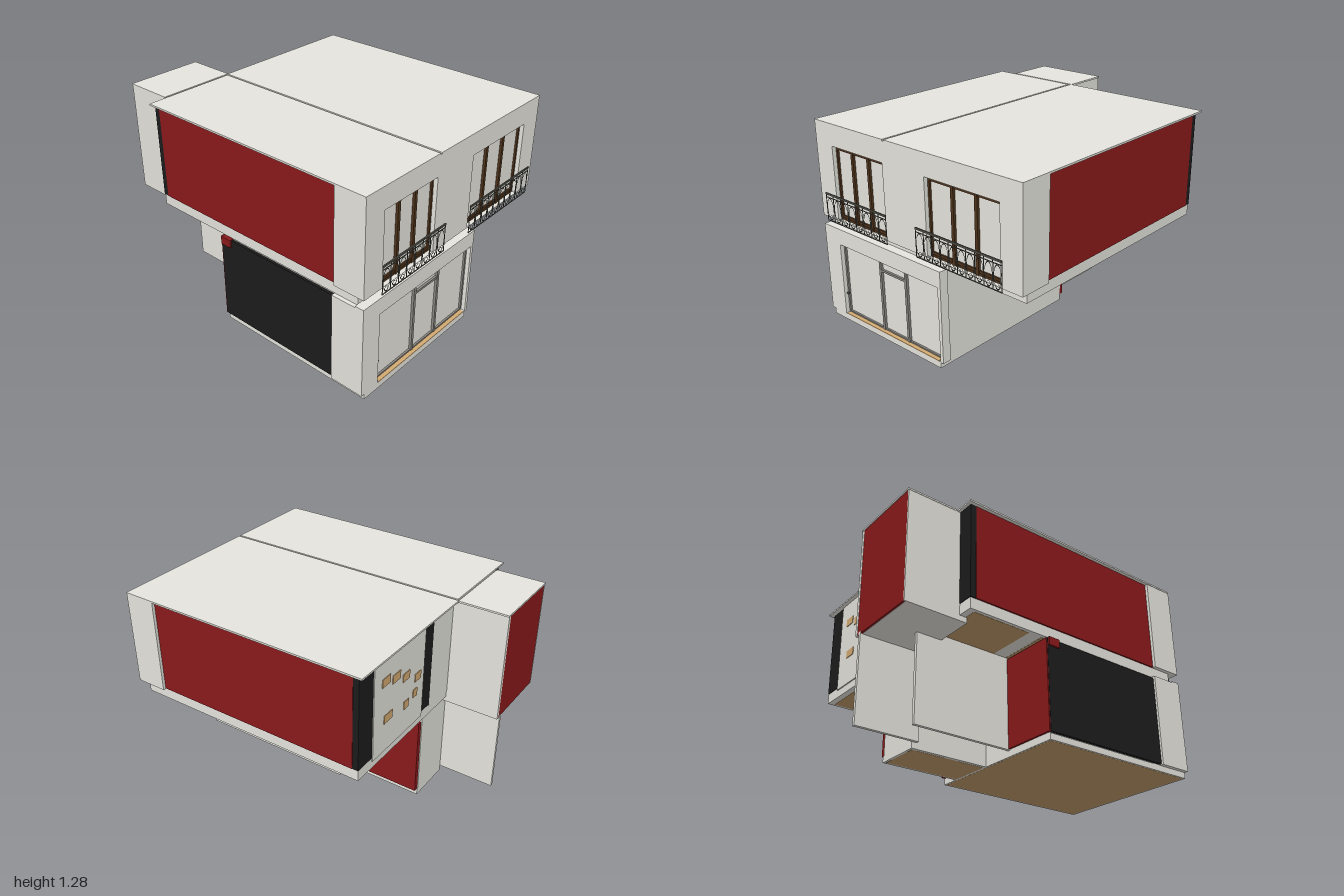
import * as THREE from 'three';

const mat = (name, color) => {
  const m = new THREE.MeshStandardMaterial({ color });
  m.name = name;
  return m;
};

export function createModel() {
  const house = new THREE.Group();
  house.name = 'house';
  const plaster = mat('plaster grey', 0xe5e4dd);
  const red = mat('cladding red', 0x8a191b);
  const black = mat('panel black', 0x1c1c1c);
  const wood = mat('dark wood', 0x4e331c);
  const steel = mat('frame grey', 0x8a8882);
  const iron = mat('wrought iron', 0x55554f);
  const floorBrown = mat('floor brown', 0xbf9a68);
  const tan = mat('tan wood', 0xd3aa72);

  // Box given by its extents on each axis
  const box = (name, m, x0, x1, y0, y1, z0, z1, parent = house) => {
    const mesh = new THREE.Mesh(new THREE.BoxGeometry(x1 - x0, y1 - y0, z1 - z0), m);
    mesh.position.set((x0 + x1) / 2, (y0 + y1) / 2, (z0 + z1) / 2);
    mesh.name = name;
    parent.add(mesh);
    return mesh;
  };

  // Front wall with rectangular openings [x0, x1, y0, y1]
  const frontWall = (name, x0, x1, y0, y1, holes) => {
    const rect = (P, a, b, c, d) =>
      new P([[a, c], [b, c], [b, d], [a, d]].map(([x, y]) => new THREE.Vector2(x, y)));
    const shape = rect(THREE.Shape, x0, x1, y0, y1);
    holes.forEach(h => shape.holes.push(rect(THREE.Path, ...h)));
    const mesh = new THREE.Mesh(
      new THREE.ExtrudeGeometry(shape, { depth: 0.058, bevelEnabled: false }), plaster);
    mesh.position.z = 0.9;
    mesh.name = name;
    house.add(mesh);
  };

  // Window frame: surround plus inner posts of half-width w
  const windowFrame = (name, m, [x0, x1, y0, y1], t, top, posts, w) => {
    const g = new THREE.Group();
    g.name = name;
    house.add(g);
    const z = [0.915, 0.932];
    box('frameLeft', m, x0, x0 + t, y0, y1, ...z, g);
    box('frameRight', m, x1 - t, x1, y0, y1, ...z, g);
    box('frameTop', m, x0, x1, y1 - top, y1, ...z, g);
    box('frameBottom', m, x0, x1, y0, y0 + t, ...z, g);
    posts.forEach(p => box('post', m, p - w, p + w, y0, y1, 0.915, 0.936, g));
    return g;
  };

  // Ground floor
  const shopHole = [-0.671, 0.187, 0.041, 0.516];
  frontWall('lowerFrontWall', -0.81, 0.21, 0.038, 0.619, [shopHole]);
  box('lowerBase', plaster, -0.785, 0.187, 0.0005, 0.038, -0.12, 0.957);
  box('lowerRoom', plaster, -0.78, 0.187, 0.038, 0.61, -0.12, 0.92);
  box('lowerSideReturn', plaster, -0.81, -0.77, 0.038, 0.61, 0.74, 0.9);
  box('lowerBlackCladding', black, -0.797, -0.77, 0.043, 0.6, -0.125, 0.74);
  box('lowerBackCladding', red, -0.795, -0.45, 0.043, 0.6, -0.132, -0.12);
  box('redBeam', red, -0.809, 0.209, 0.555, 0.606, -0.12, -0.045);
  box('groundFloorUnderside', floorBrown, -0.775, 0.175, 0, 0.001, -0.11, 0.945);
  const shop = windowFrame('shopWindow', steel, shopHole, 0.013, 0.013, [-0.328, -0.107], 0.009);
  box('transom', steel, -0.328, -0.107, 0.438, 0.452, 0.915, 0.934, shop);
  box('doorHandle', iron, -0.666, -0.65, 0.176, 0.185, 0.93, 0.945, shop);
  box('shopSill', tan, -0.66, 0.172, 0.04, 0.045, 0.932, 0.9585);

  // Rear annex and stair walls
  box('annexBase', plaster, -0.23, 0.07, 0.0005, 0.04, -0.63, -0.12);
  box('annexUnderside', floorBrown, -0.21, 0.055, 0, 0.001, -0.615, -0.125);
  box('annexRoom', plaster, -0.23, 0.06, 0.038, 0.575, -0.63, -0.12);
  box('annexLid', plaster, -0.25, 0.065, 0.56, 0.608, -0.632, -0.12);
  box('annexSideCladding', red, 0.06, 0.09, 0.04, 0.556, -0.625, -0.12);
  box('annexFrontCladding', red, 0.08, 0.185, 0.04, 0.556, -0.145, -0.118);
  box('stairWallRight', plaster, -0.25, -0.23, 0.038, 0.59, -0.998, -0.6);
  box('stairWallLeft', plaster, -0.45, -0.43, 0.038, 0.608, -0.76, -0.12);

  // Slab between the floors
  box('upperSlab', plaster, -0.785, 0.785, 0.61, 0.678, -0.65, 0.9);
  box('slabUndersideFront', floorBrown, -0.765, 0.765, 0.609, 0.611, -0.14, 0.88);
  box('slabUndersideBack', floorBrown, -0.765, 0.765, 0.609, 0.611, -0.61, -0.23);

  // Upper floor
  const doorHoles = [[-0.662, -0.217, 0.681, 1.147], [0.12, 0.66, 0.681, 1.147]];
  frontWall('upperFrontWall', -0.81, 0.81, 0.678, 1.275, doorHoles);
  box('upperFrontReturn', plaster, -0.81, 0.81, 0.678, 1.272, 0.755, 0.9);
  box('upperRoom', plaster, -0.772, 0.772, 0.678, 1.273, -0.62, 0.92);
  for (const s of [-1, 1]) {
    const x = s * 0.781;
    box('sideCladding', red, x - 0.01, x + 0.01, 0.68, 1.274, -0.615, 0.755);
  }
  windowFrame('balconyDoorRight', wood, doorHoles[0], 0.013, 0.025, [-0.513, -0.372], 0.01);
  windowFrame('balconyDoorLeft', wood, doorHoles[1], 0.013, 0.025, [0.303, 0.475], 0.01);
  doorHoles.forEach(h =>
    box('doorKickRail', wood, h[0], h[1], 0.681, 0.709, 0.915, 0.93));

  // Upper back wall
  const backBlack = [[0.655, 0.789], [0.03, 0.135], [-0.789, -0.68]];
  backBlack.forEach(([a, b]) => box('backBlackPanel', black, a, b, 0.68, 1.274, -0.652, -0.615));
  box('backPanel', plaster, 0.13, 0.655, 0.66, 1.274, -0.658, -0.61);
  box('backWall', plaster, -0.2, 0.03, 0.66, 1.274, -0.652, -0.61);
  const niches = [
    [0.54, 1.12, 0.08], [0.435, 1.09, 0.08], [0.33, 1.04, 0.07], [0.2, 0.973, 0.065],
    [0.51, 0.875, 0.085], [0.32, 0.85, 0.05], [0.225, 0.875, 0.045],
  ];
  niches.forEach(([x, y, w]) =>
    box('smallBackWindow', tan, x - w / 2, x + w / 2, y - 0.026, y + 0.026, -0.662, -0.657));

  // Rear tower with red cladding set between its side walls
  box('tower', plaster, -0.685, -0.2, 0.577, 1.273, -0.985, -0.6);
  box('towerLeftWall', plaster, -0.215, -0.195, 0.577, 1.275, -0.998, -0.6);
  box('towerRightWall', plaster, -0.69, -0.682, 0.577, 1.275, -0.997, -0.6);
  box('towerBackCladding', red, -0.682, -0.215, 0.579, 1.274, -0.996, -0.985);
  box('towerRoof', plaster, -0.692, -0.188, 1.273, 1.284, -1, -0.683);

  // Roof slabs, parted by narrow grooves
  box('roofRight', plaster, -0.812, -0.206, 1.273, 1.284, -0.671, 0.958);
  box('roofLeft', plaster, -0.194, 0.812, 1.273, 1.284, -0.683, 0.958);

  // Balcony railings with iron loops
  const ring = new THREE.TorusGeometry(1, 0.05, 4, 24);
  const railing = (name, x0, x1, bays) => {
    const g = new THREE.Group();
    g.name = name;
    house.add(g);
    box('handrail', iron, x0, x1, 0.849, 0.86, 0.992, 1, g);
    box('upperRail', iron, x0, x1, 0.831, 0.835, 0.994, 0.998, g);
    box('bottomRail', iron, x0, x1, 0.68, 0.685, 0.994, 0.998, g);
    const step = (x1 - x0) / bays;
    const loop = (part, x, y, rx, ry) => {
      const r = new THREE.Mesh(ring, iron);
      r.scale.set(rx, ry, 0.03);
      r.position.set(x, y, 0.996);
      r.name = part;
      g.add(r);
    };
    for (let i = 0; i <= bays; i++) {
      const x = x0 + i * step;
      const p = Math.min(Math.max(x, x0 + 0.002), x1 - 0.002);
      box('bar', iron, p - 0.0015, p + 0.0015, 0.68, 0.85, 0.994, 0.998, g);
      if (i === bays) break;
      loop('tallLoop', x + step / 2, 0.76, step * 0.42, 0.068);
      loop('scroll', x + step / 2, 0.704, step * 0.2, 0.016);
    }
  };
  railing('railingRight', -0.712, -0.168, 8);
  railing('railingLeft', 0.073, 0.708, 10);

  return house;
}
